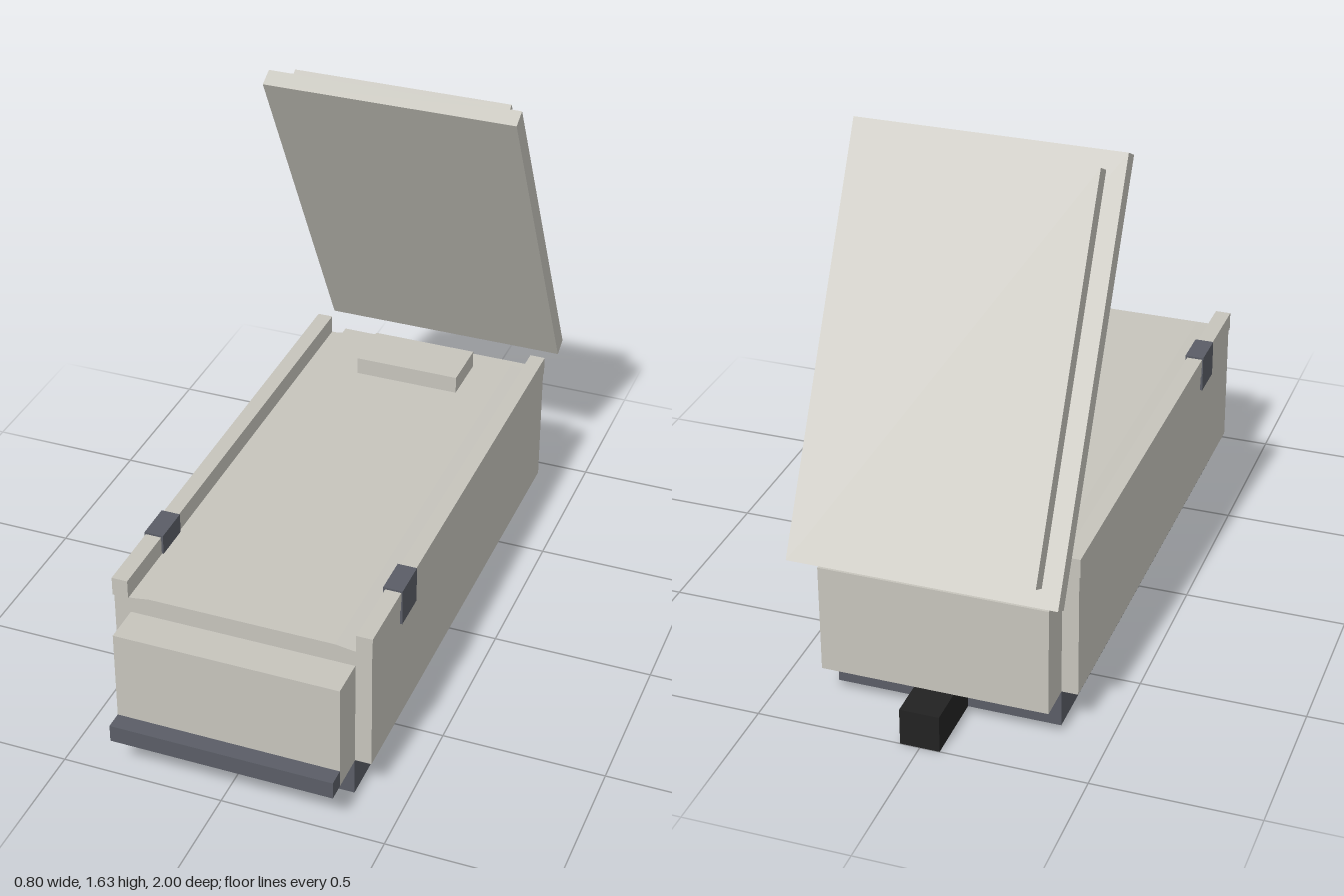
import * as THREE from 'three';

export function createModel() {
  const model = new THREE.Group();
  const shell = new THREE.MeshStandardMaterial({ color: 0xc6c4bc });
  shell.name = 'warm grey shell';
  const trim = new THREE.MeshStandardMaterial({ color: 0x5a5d66 });
  trim.name = 'slate trim';
  const black = new THREE.MeshStandardMaterial({ color: 0x222222 });
  black.name = 'black';

  // Box given by its limits on each axis
  function box(name, mat, [x0, x1], [y0, y1], [z0, z1], parent = model) {
    const mesh = new THREE.Mesh(new THREE.BoxGeometry(x1 - x0, y1 - y0, z1 - z0), mat);
    mesh.position.set((x0 + x1) / 2, (y0 + y1) / 2, (z0 + z1) / 2);
    mesh.name = name;
    parent.add(mesh);
    return mesh;
  }

  // Hollow base, open underneath
  const base = new THREE.Group();
  base.name = 'base';
  model.add(base);
  box('baseCeiling', trim, [-0.345, 0.345], [0.11, 0.118], [-0.77, 0.83], base);
  for (const s of [-1, 1]) {
    const x = s * 0.343;
    box('baseSideWall', trim, [x - 0.002, x + 0.002], [0, 0.118], [-0.77, 0.83], base);
    const z = 0.03 + s * 0.798;
    box('baseEndWall', trim, [-0.345, 0.345], [0, 0.118], [z - 0.002, z + 0.002], base);
  }

  // Main body with end boxes
  box('body', shell, [-0.395, 0.395], [0.118, 0.511], [-0.77, 0.825]);
  box('frontBox', shell, [-0.345, 0.345], [0.118, 0.46], [0.825, 0.945]);
  box('backBox', shell, [-0.345, 0.345], [0.118, 0.46], [-0.885, -0.77]);
  box('frontBar', trim, [-0.345, 0.345], [0.118, 0.173], [0.945, 1]);
  box('hitch', black, [-0.06, 0.06], [0, 0.117], [-1, -0.77]);

  // Slightly raised deck with sloping edges
  const profile = new THREE.Shape();
  profile.moveTo(-0.345, 0.51);
  profile.lineTo(0.345, 0.51);
  profile.lineTo(0.285, 0.519);
  profile.lineTo(-0.285, 0.519);
  const deck = new THREE.Mesh(
    new THREE.ExtrudeGeometry(profile, { depth: 1.594, bevelEnabled: false }), shell);
  deck.position.z = -0.769;
  deck.name = 'deck';
  model.add(deck);
  box('deckBlock', shell, [-0.17, 0.17], [0.511, 0.575], [-0.715, -0.54]);

  // Side rails and their clips
  for (const s of [-1, 1]) {
    const span = (a, b) => (s > 0 ? [a, b] : [-b, -a]);
    box('rail', shell, span(0.349, 0.398), [0.511, 0.57], [-0.77, 0.83]);
    box('clipTop', trim, span(0.343, 0.402), [0.513, 0.576], [0.48, 0.6]);
    box('clipSide', trim, span(0.394, 0.402), [0.46, 0.576], [0.48, 0.6]);
  }

  // Raised lid, two stacked slabs tilted forward at the top
  const lid = new THREE.Group();
  lid.name = 'lid';
  lid.position.set(0, 1.065, -0.654);
  lid.rotation.x = 0.487;
  model.add(lid);
  box('lidPanel', shell, [-0.4, 0.4], [-0.625, 0.625], [-0.028, 0.028], lid);
  box('lidOuterPanel', shell, [-0.345, 0.345], [-0.571, 0.571], [-0.084, -0.028], lid);

  return model;
}
